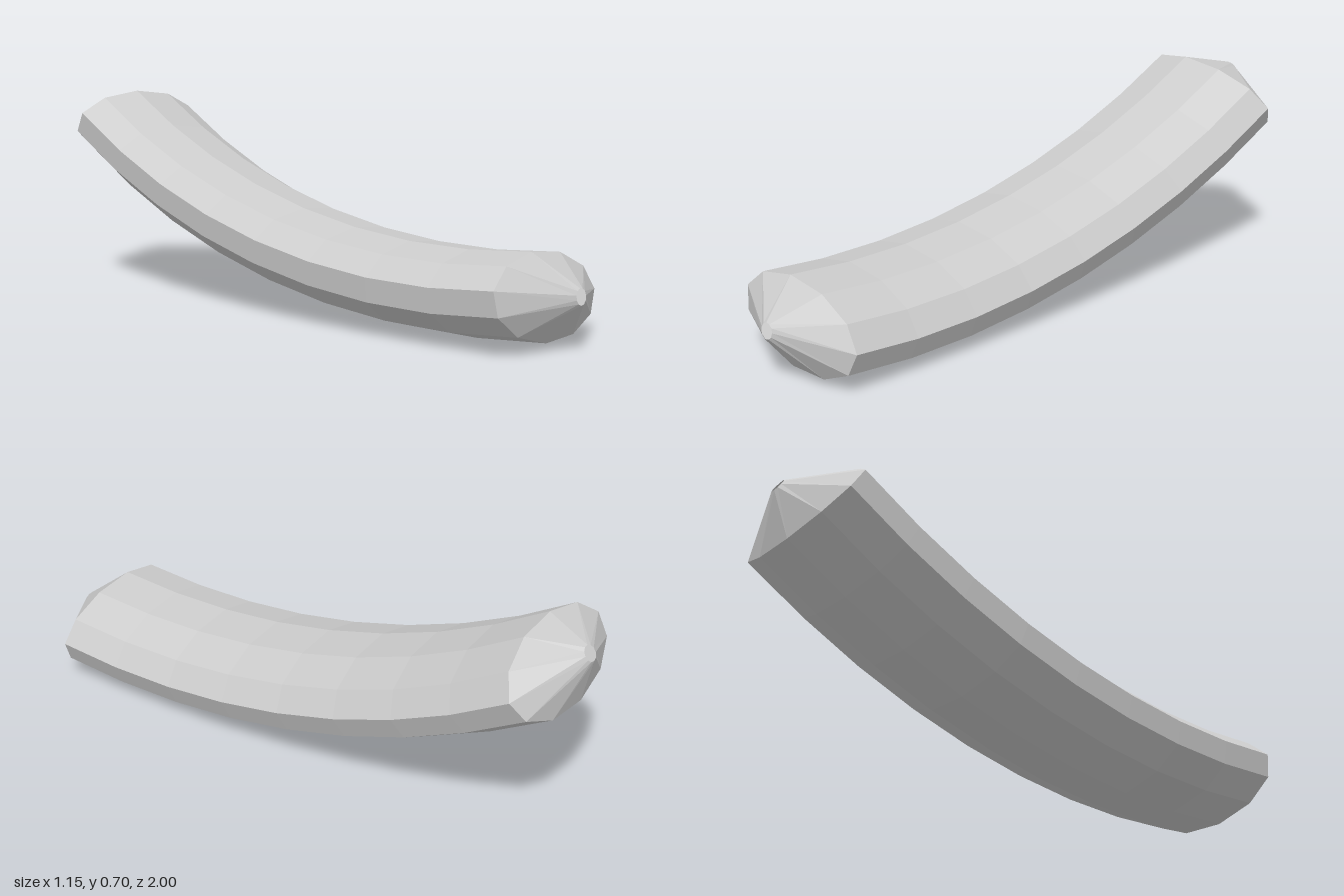
import * as THREE from 'three';

const SIDES = 11, SEGMENTS = 8;
const HALF_WIDTH = 0.282, HALF_HEIGHT = 0.142;
const CAP = 0.125, HOLE = 0.027;
const FRONT = 0.93, BACK = -0.935, LOW = 0.59, RADIUS = 2.85; // circular arc of the spine
const ROLL = 0.12, PHASE = 0.13;

// Axes of the bend: length, width and lift, with the whole tube rolled slightly
const along = new THREE.Vector3(0.367, 0, 0.93).normalize();
const side = new THREE.Vector3(along.z, 0, -along.x);
const base = side.clone().multiplyScalar(-0.031).setY(0.133);
side.applyAxisAngle(along, -ROLL);
const lift = along.clone().cross(side);

// Spine point and frame at an arc angle (0 = lowest point, positive = forward)
function frameAt(angle, push = 0) {
  const tangent = along.clone().multiplyScalar(Math.cos(angle))
    .addScaledVector(lift, Math.sin(angle));
  const up = tangent.clone().cross(side);
  const centre = base.clone()
    .addScaledVector(along, LOW + RADIUS * Math.sin(angle))
    .addScaledVector(lift, RADIUS * (1 - Math.cos(angle)))
    .addScaledVector(tangent, push);
  return { centre, up };
}

// Eleven-sided oval section
function ring({ centre, up }, a, b) {
  const points = [];
  for (let k = 0; k < SIDES; k++) {
    const t = (k / SIDES) * Math.PI * 2 + PHASE;
    points.push(centre.clone()
      .addScaledVector(side, a * Math.cos(t))
      .addScaledVector(up, b * Math.sin(t)));
  }
  return points;
}

// Skin between successive sections, running front to back
function loft(name, rings, material) {
  const index = [];
  for (let i = 0; i < rings.length - 1; i++) {
    for (let k = 0; k < SIDES; k++) {
      const n = (k + 1) % SIDES;
      const a = i * SIDES + k, b = i * SIDES + n;
      const c = a + SIDES, d = b + SIDES;
      index.push(a, c, b, b, c, d);
    }
  }
  const geometry = new THREE.BufferGeometry().setFromPoints(rings.flat());
  geometry.setIndex(index);
  geometry.computeVertexNormals();
  const mesh = new THREE.Mesh(geometry, material);
  mesh.name = name;
  return mesh;
}

export function createModel() {
  const group = new THREE.Group();
  group.name = 'curvedTube';
  const material = new THREE.MeshStandardMaterial({
    color: 0xcccccc, flatShading: true, side: THREE.DoubleSide,
  });

  const start = Math.asin((FRONT - LOW) / RADIUS);
  const end = Math.asin((BACK - LOW) / RADIUS);

  // Curved body
  const body = [];
  for (let i = 0; i <= SEGMENTS; i++) {
    const angle = THREE.MathUtils.lerp(start, end, i / SEGMENTS);
    body.push(ring(frameAt(angle), HALF_WIDTH, HALF_HEIGHT));
  }
  group.add(loft('body', body, material));

  // Tapered ends, each open at a small round hole
  const frontTip = ring(frameAt(start, CAP), HOLE, HOLE);
  const backTip = ring(frameAt(end, -CAP), HOLE, HOLE);
  group.add(loft('frontCap', [frontTip, body[0]], material));
  group.add(loft('backCap', [body[SEGMENTS], backTip], material));
  return group;
}
